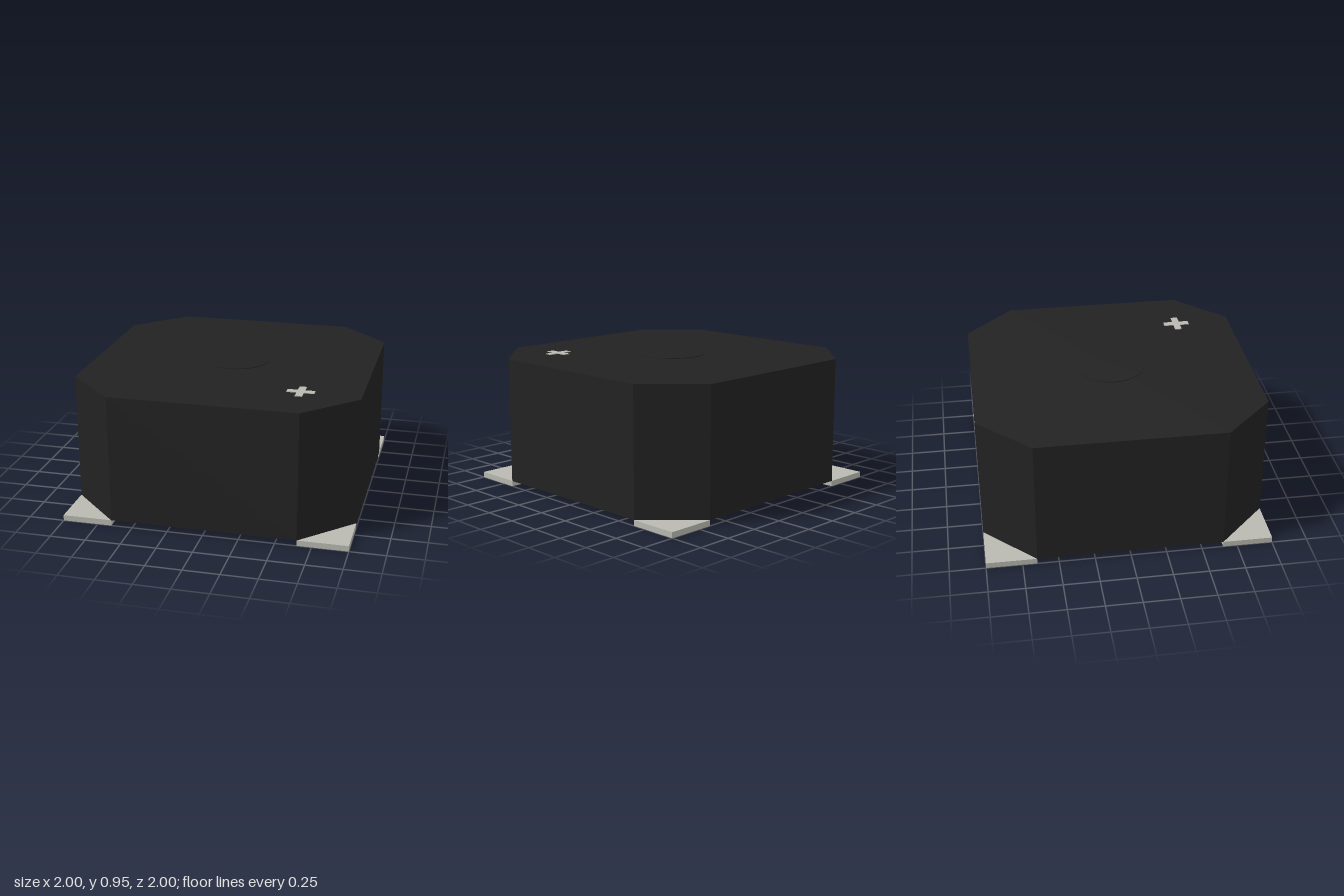
import * as THREE from 'three';

export function createModel() {
  const group = new THREE.Group();
  const black = new THREE.MeshStandardMaterial({ name: 'black plastic', color: 0x222222 });
  const metal = new THREE.MeshStandardMaterial({ name: 'pale metal', color: 0xb9b9b1 });

  const add = (name, geometry, material, x, y, z) => {
    const mesh = new THREE.Mesh(geometry, material);
    mesh.name = name;
    mesh.position.set(x, y, z);
    group.add(mesh);
    return mesh;
  };

  const padSize = 0.35, padHeight = 0.04, top = 0.943;
  const c = 1 - padSize;

  // Housing: square block with chamfered corners
  const outline = new THREE.Shape([
    [c, -1], [1, -c], [1, c], [c, 1], [-c, 1], [-1, c], [-1, -c], [-c, -1],
  ].map(([x, y]) => new THREE.Vector2(x, y)));
  const housing = new THREE.ExtrudeGeometry(outline, { depth: top - padHeight, bevelEnabled: false });
  housing.rotateX(-Math.PI / 2);
  add('housing', housing, black, 0, padHeight, 0);

  // Shallow round disc in the middle of the top
  add('topDisc', new THREE.CylinderGeometry(0.24, 0.24, 0.01, 48), black, 0, top, 0);

  // Square solder pads under the corners
  const pad = new THREE.BoxGeometry(padSize, padHeight, padSize);
  const p = 1 - padSize / 2;
  for (const [side, sx] of [['Left', 1], ['Right', -1]]) {
    for (const [end, sz] of [['front', 1], ['back', -1]]) {
      add(`${end}${side}Pad`, pad, metal, sx * p, padHeight / 2, sz * p);
    }
  }

  // Polarity cross: one long bar and two short arms
  const mark = new THREE.Group();
  mark.name = 'polarityMark';
  mark.position.set(0.585, top + 0.002, 0.595);
  const length = 0.19, width = 0.05, arm = (length - width) / 2;
  const bar = (name, w, d, x) => {
    const mesh = new THREE.Mesh(new THREE.BoxGeometry(w, 0.006, d), metal);
    mesh.name = name;
    mesh.position.x = x;
    mark.add(mesh);
  };
  bar('markBar', width, length, 0);
  for (const s of [1, -1]) bar(s > 0 ? 'markLeftArm' : 'markRightArm', arm, width, s * (width + arm) / 2);
  group.add(mark);

  return group;
}
